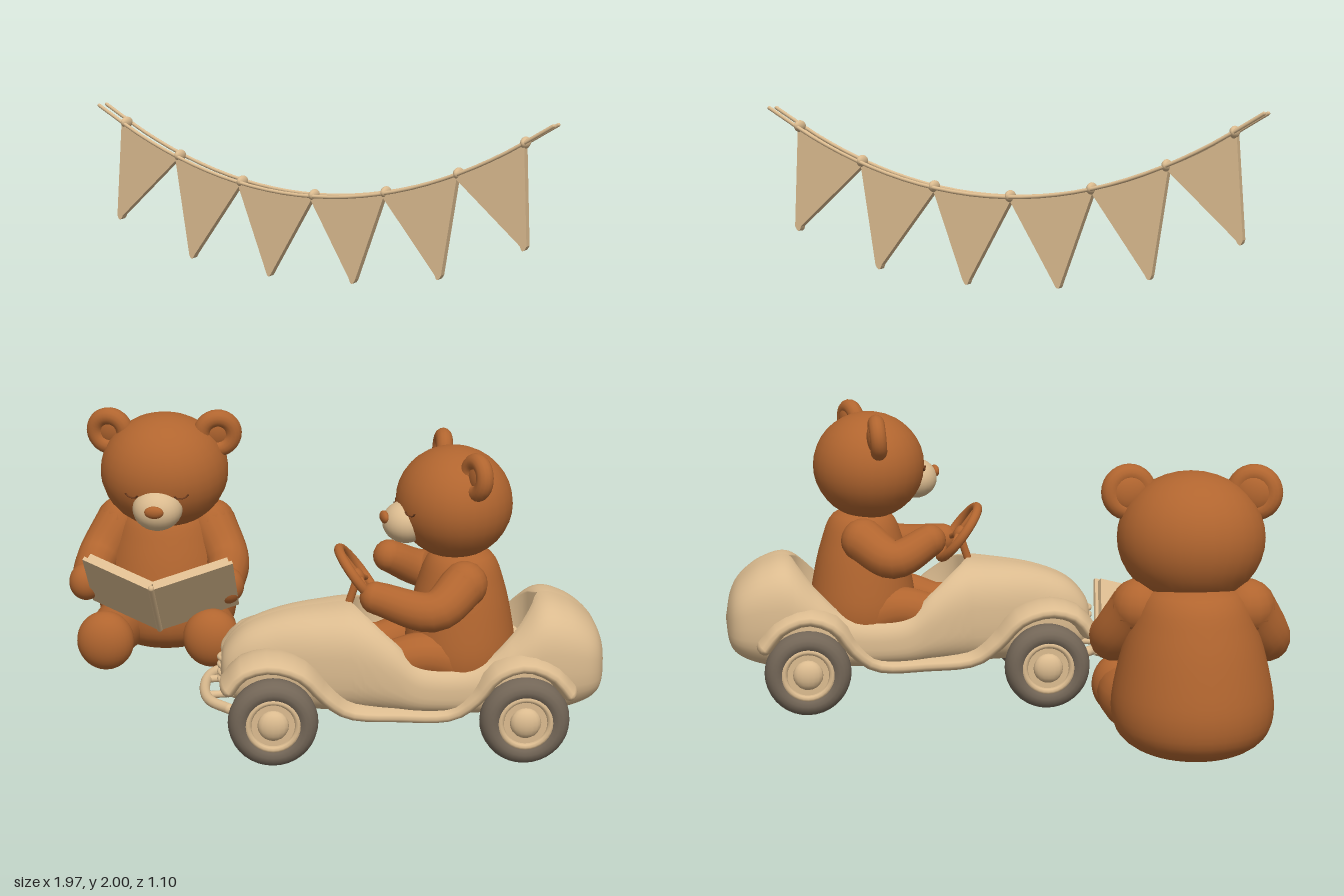
import * as THREE from 'three';

const mat = (name, color) => Object.assign(new THREE.MeshStandardMaterial({ color }), { name });
const brown = mat('brown fur', 0xb1652f);
const dark = mat('dark brown', 0x6b3a1c);
const beige = mat('beige', 0xdbbb8f);
const rubber = mat('tyre rubber', 0x736657);
const shell = mat('beige shell', 0xdbbb8f);
shell.side = THREE.DoubleSide;

const V = (x, y, z) => new THREE.Vector3(x, y, z);
const ball = new THREE.SphereGeometry(1, 28, 18);
const bead = new THREE.SphereGeometry(1, 16, 10);

function add(parent, name, geo, material, pos = [0, 0, 0], scale = [1, 1, 1], rot = [0, 0, 0]) {
  const m = new THREE.Mesh(geo, material);
  m.name = name;
  m.position.set(...pos);
  m.scale.set(...scale);
  m.rotation.set(...rot);
  parent.add(m);
  return m;
}

function group(parent, name, pos = [0, 0, 0], rot = [0, 0, 0]) {
  const g = new THREE.Group();
  g.name = name;
  g.position.set(...pos);
  g.rotation.set(...rot);
  parent.add(g);
  return g;
}

// Tapered tube with rounded ends
function limb(parent, name, pts, r0, r1, material) {
  const g = group(parent, name);
  const curve = new THREE.CatmullRomCurve3(pts.map(p => V(...p)));
  const n = pts.length > 2 ? 8 + 2 * pts.length : 1, sides = 16;
  const geo = new THREE.TubeGeometry(curve, n, 1, sides);
  const pos = geo.attributes.position, v = V();
  for (let i = 0; i < pos.count; i++) {
    const t = Math.floor(i / (sides + 1)) / n, c = curve.getPointAt(t);
    v.fromBufferAttribute(pos, i).sub(c).multiplyScalar(r0 + (r1 - r0) * t).add(c);
    pos.setXYZ(i, v.x, v.y, v.z);
  }
  add(g, name + 'Tube', geo, material);
  add(g, name + 'Start', bead, material, pts[0], [r0, r0, r0]);
  add(g, name + 'End', bead, material, pts[pts.length - 1], [r1, r1, r1]);
}

function buildHead(parent, pos, pitch, yaw, size) {
  const h = group(parent, 'head', pos, [pitch, yaw, 0]);
  h.scale.setScalar(size);
  const [rx, ry, rz] = [0.228, 0.205, 0.212];
  add(h, 'skull', ball, brown, [0, 0, 0], [rx, ry, rz]);
  add(h, 'snout', ball, beige, [0, -0.06, 0.185], [0.088, 0.077, 0.085]);
  add(h, 'nose', bead, brown, [0, -0.035, 0.265], [0.034, 0.023, 0.016]);
  for (const s of [-1, 1]) {
    const ear = group(h, s > 0 ? 'leftEar' : 'rightEar', [s * 0.192, 0.138, -0.02], [-0.1, s * 0.2, 0]);
    add(ear, 'earRim', new THREE.TorusGeometry(0.056, 0.031, 14, 28), brown);
    add(ear, 'earBowl', bead, brown, [0, 0, -0.01], [0.062, 0.062, 0.03]);
    // closed eyelid
    const ex = 0.088, ez = rz * Math.sqrt(1 - (ex / rx) ** 2);
    add(h, 'closedEye', new THREE.TorusGeometry(0.024, 0.004, 6, 16, Math.PI), dark,
      [s * ex, 0, ez], [1, 0.6, 1], [0, s * 0.42, Math.PI]);
  }
}

function buildTorso(parent, y0, h, r, depth) {
  const pts = [[0, 0], [0.55, 0], [0.9, 0.1], [1, 0.27], [0.93, 0.5], [0.78, 0.76], [0.55, 0.97], [0, 1.05]];
  const prof = new THREE.SplineCurve(pts.map(([x, y]) => new THREE.Vector2(x * r, y * h)))
    .getPoints(28).map(p => p.setX(Math.max(0, p.x)));
  add(parent, 'torso', new THREE.LatheGeometry(prof, 36), brown, [0, y0, 0], [1, 1, depth]);
}

function buildReader(root) {
  const b = group(root, 'readingBear', [-0.73, 0, -0.29], [0, 0.385, 0]);
  buildTorso(b, 0.06, 0.51, 0.25, 1);
  buildHead(b, [0.005, 0.708, 0.065], 0.2, 0, 1);
  for (const s of [-1, 1]) {
    const fz = s > 0 ? 0.29 : 0.35, fx = s > 0 ? 0.2 : -0.165;
    limb(b, 'leg', [[s * 0.12, 0.16, 0.06], [fx * 0.93, 0.155, 0.2], [fx, 0.155, fz]], 0.1, 0.085, brown);
    add(b, 'foot', ball, brown, [fx, 0.168, fz + 0.02], [0.1, 0.105, 0.075]);
    limb(b, 'arm', [[s * 0.165, 0.5, 0.02], [s * 0.232, 0.39, 0.1], [s * 0.24, 0.345, 0.23]], 0.088, 0.068, brown);
    add(b, 'paw', ball, brown, [s * 0.25, 0.345, 0.26], [0.06, 0.066, 0.06]);
  }

  // open book: a cover and a page block on each side of the spine
  const book = group(b, 'book', [0.02, 0.2, 0.325]);
  const u = V(), v = V(0, 0.205, 0.17);
  const slab = (name, thick, inset, lift) => {
    const n = u.clone().cross(v).normalize();
    const c = u.clone().add(v).multiplyScalar(0.5).addScaledVector(n, lift);
    const m = add(book, name, new THREE.BoxGeometry(1, 1, 1), beige);
    m.matrixAutoUpdate = false;
    m.matrix.makeBasis(u.clone().multiplyScalar(inset), v.clone().multiplyScalar(inset), n.multiplyScalar(thick)).setPosition(c);
  };
  for (const s of [-1, 1]) {
    u.set(s > 0 ? 0.27 : -0.245, 0.08, -0.07);
    slab('bookCover', 0.014, 1, 0);
    slab('bookPages', 0.024, 0.93, -s * 0.019);
  }
  limb(book, 'bookSpine', [[0, 0, 0], v.toArray()], 0.011, 0.011, beige);
}

function buildDriver(car) {
  const b = group(car, 'drivingBear', [0.21, 0, 0], [0, -Math.PI / 2, 0]);
  buildTorso(b, 0.2, 0.45, 0.185, 0.97);
  buildHead(b, [-0.01, 0.807, 0.025], 0.02, 0.23, 0.88);
  for (const s of [-1, 1]) {
    limb(b, 'leg', [[s * 0.09, 0.29, 0.0], [s * 0.11, 0.33, 0.12], [s * 0.1, 0.3, 0.25]], 0.085, 0.065, brown);
    add(b, 'foot', ball, brown, [s * 0.1, 0.29, 0.27], [0.06, 0.075, 0.05]);
  }
  limb(b, 'leftArm', [[0.12, 0.57, 0.0], [0.18, 0.5, 0.1], [0.1, 0.52, 0.28]], 0.074, 0.052, brown);
  limb(b, 'rightArm', [[-0.12, 0.57, 0.0], [-0.195, 0.52, 0.1], [-0.165, 0.575, 0.22]], 0.074, 0.054, brown);
}

// Car body: cross-sections along x, cut open at the cockpit
function bodyGeometry() {
  // x, half width, underside, top
  const st = [[-0.57, 0.0005, 0.26, 0.261], [-0.555, 0.075, 0.18, 0.33], [-0.49, 0.11, 0.15, 0.4], [-0.38, 0.135, 0.135, 0.445],
    [-0.25, 0.165, 0.13, 0.468], [-0.12, 0.19, 0.13, 0.475], [-0.02, 0.203, 0.13, 0.425], [0.08, 0.207, 0.13, 0.345],
    [0.25, 0.207, 0.13, 0.345], [0.36, 0.21, 0.13, 0.42], [0.46, 0.21, 0.13, 0.5], [0.55, 0.2, 0.14, 0.485],
    [0.625, 0.172, 0.17, 0.43], [0.66, 0.115, 0.21, 0.37], [0.675, 0.0005, 0.29, 0.291]];
  const curveA = new THREE.CatmullRomCurve3(st.map(s => V(s[0], s[1], s[2])), false, 'catmullrom', 0.5);
  const curveB = new THREE.SplineCurve(st.map(s => new THREE.Vector2(s[0], s[3])));
  const N = 112, K = 18, p = 0.72, floor = 0.2, pos = [], idx = [];
  for (let i = 0; i <= N; i++) {
    const a = curveA.getPoint(i / N), yt = curveB.getPoint(i / N).y;
    const w = Math.max(0.0005, a.y), yb = a.z, ym = yb + (yt - yb) * 0.45;
    const e = 1 - Math.abs((a.x - 0.155) / 0.295) ** 3;
    const c = e > 0 ? Math.min(0.168 * Math.sqrt(e), w * 0.85) : 0;
    const end = Math.acos(Math.min(1, (c / w) ** (1 / p)));
    const half = [];
    for (let k = 0; k <= K; k++) {
      const t = -Math.PI / 2 + (end + Math.PI / 2) * k / K, sn = Math.sin(t);
      const q = Math.sign(sn) * Math.abs(sn) ** p;
      half.push([w * Math.max(0, Math.cos(t)) ** p, ym + q * (q > 0 ? yt - ym : ym - yb)]);
    }
    const rim = half[K][1];
    half.push([c * 0.93, rim - 0.004], [c * 0.9, c ? floor : rim], [0, c ? floor : rim]);
    for (const [z, y] of half) pos.push(a.x, y, z);
    for (const [z, y] of half.reverse()) pos.push(a.x, y, -z);
  }
  const M = 2 * (K + 4);
  for (let i = 0; i < N; i++) for (let j = 0; j < M - 1; j++) {
    const a = i * M + j, d = a + M;
    idx.push(a, d, a + 1, a + 1, d, d + 1);
  }
  const g = new THREE.BufferGeometry();
  g.setAttribute('position', new THREE.Float32BufferAttribute(pos, 3));
  g.setIndex(idx);
  g.computeVertexNormals();
  return g;
}

function buildCar(root) {
  const car = group(root, 'pedalCar', [0.35, 0, 0.08], [0, 0.5, 0]);
  add(car, 'carBody', bodyGeometry(), shell);
  // fenders flow over both wheels and join as a narrower running board (x, y, inset)
  const path = [[-0.54, 0.26, 0], [-0.5, 0.31, 0], [-0.41, 0.335, 0], [-0.31, 0.305, 0], [-0.235, 0.225, 0.005], [-0.16, 0.167, 0.012],
    [0, 0.152, 0.014], [0.17, 0.157, 0.012], [0.245, 0.215, 0.005], [0.31, 0.3, 0], [0.4, 0.33, 0], [0.49, 0.295, 0], [0.54, 0.235, 0]];
  for (const s of [-1, 1]) {
    const f = group(car, 'fender', [0, 0, s * 0.165]);
    f.scale.z = 3;
    limb(f, 'fenderSweep', path.map(([x, y, inset]) => [x, y, -s * inset]), 0.03, 0.03, beige);
    for (const x of [-0.4, 0.4]) {
      const w = group(car, 'wheel', [x, 0.145, s * 0.207], [0, s > 0 ? 0 : Math.PI, 0]);
      add(w, 'tyre', new THREE.TorusGeometry(0.106, 0.038, 16, 36), rubber, [0, 0, 0], [1, 1, 1.25]);
      add(w, 'wheelDisc', new THREE.CylinderGeometry(0.088, 0.088, 0.06, 32), beige, [0, 0, 0], [1, 1, 1], [Math.PI / 2, 0, 0]);
      add(w, 'wheelRing', new THREE.TorusGeometry(0.08, 0.011, 8, 32), beige, [0, 0, 0.032]);
      add(w, 'hubCap', bead, beige, [0, 0, 0.03], [0.05, 0.05, 0.03]);
    }
  }
  for (const x of [-0.4, 0.4])
    add(car, 'axle', new THREE.CylinderGeometry(0.012, 0.012, 0.4, 12), beige, [x, 0.155, 0], [1, 1, 1], [Math.PI / 2, 0, 0]);
  // bumper and grille bars
  limb(car, 'bumper', [[-0.54, 0.185, -0.19], [-0.6, 0.185, -0.12], [-0.62, 0.185, 0], [-0.6, 0.185, 0.12], [-0.54, 0.185, 0.19]], 0.017, 0.017, beige);
  for (const z of [-0.07, 0.07]) limb(car, 'bumperBracket', [[-0.61, 0.185, z], [-0.52, 0.19, z]], 0.012, 0.012, beige);
  for (let i = 0; i < 4; i++) {
    const w = 0.085 - i * 0.008, y = 0.215 + i * 0.025;
    limb(car, 'grilleBar', [[-0.54, y, -w], [-0.572, y, 0], [-0.54, y, w]], 0.008, 0.008, beige);
  }
  // steering wheel facing the driver
  const sw = group(car, 'steeringWheel', [-0.12, 0.565, 0], [0, Math.PI / 2, 0]);
  const tilt = group(sw, 'steeringTilt', [0, 0, 0], [-0.65, 0, 0]);
  add(tilt, 'steeringRing', new THREE.TorusGeometry(0.105, 0.016, 12, 36), brown);
  add(tilt, 'steeringHub', bead, brown, [0, 0, 0], [0.026, 0.026, 0.016]);
  for (let i = 0; i < 3; i++) {
    const a = Math.PI / 2 + i * Math.PI * 2 / 3;
    limb(tilt, 'steeringSpoke', [[0, 0, 0], [0.1 * Math.cos(a), 0.1 * Math.sin(a), 0]], 0.009, 0.009, brown);
  }
  limb(tilt, 'steeringColumn', [[0, 0, 0], [0, -0.09, -0.13]], 0.013, 0.013, brown);
  buildDriver(car);
}

function buildBunting(root) {
  const b = group(root, 'bunting');
  const sag = x => 1.73 + 0.39 * (x + 0.08) ** 2;
  for (const z of [-0.172, -0.219]) {
    const pts = [];
    for (let i = 0; i <= 10; i++) { const x = -0.9 + i * 0.165; pts.push([x, sag(x), z]); }
    limb(b, 'string', pts, 0.006, 0.006, beige);
  }
  const knots = [-0.805, -0.595, -0.355, -0.085, 0.175, 0.428, 0.652];
  const tips = [[-0.83, 1.6], [-0.545, 1.485], [-0.248, 1.447], [0.062, 1.447], [0.368, 1.485], [0.658, 1.6]];
  knots.forEach(x => add(b, 'knot', bead, beige, [x, sag(x) + 0.002, -0.195], [0.014, 0.019, 0.032]));
  // pennants with blunt tips
  tips.forEach(([tx, ty], i) => {
    const x0 = knots[i] - 0.008, x1 = knots[i + 1] + 0.004, xm = (x0 + x1) / 2;
    const s = new THREE.Shape();
    s.moveTo(x0, sag(x0) - 0.004);
    s.lineTo(tx - 0.008, ty + 0.018);
    s.quadraticCurveTo(tx, ty - 0.012, tx + 0.014, ty + 0.018);
    s.lineTo(x1, sag(x1) - 0.004);
    s.quadraticCurveTo(xm, sag(xm) - 0.014, x0, sag(x0) - 0.004);
    add(b, 'pennant', new THREE.ExtrudeGeometry(s, { depth: 0.028, bevelEnabled: false }), beige, [0, 0, -0.202]);
  });
}

export function createModel() {
  const root = new THREE.Group();
  root.name = 'bearsWithCarAndBunting';
  buildReader(root);
  buildCar(root);
  buildBunting(root);
  return root;
}
